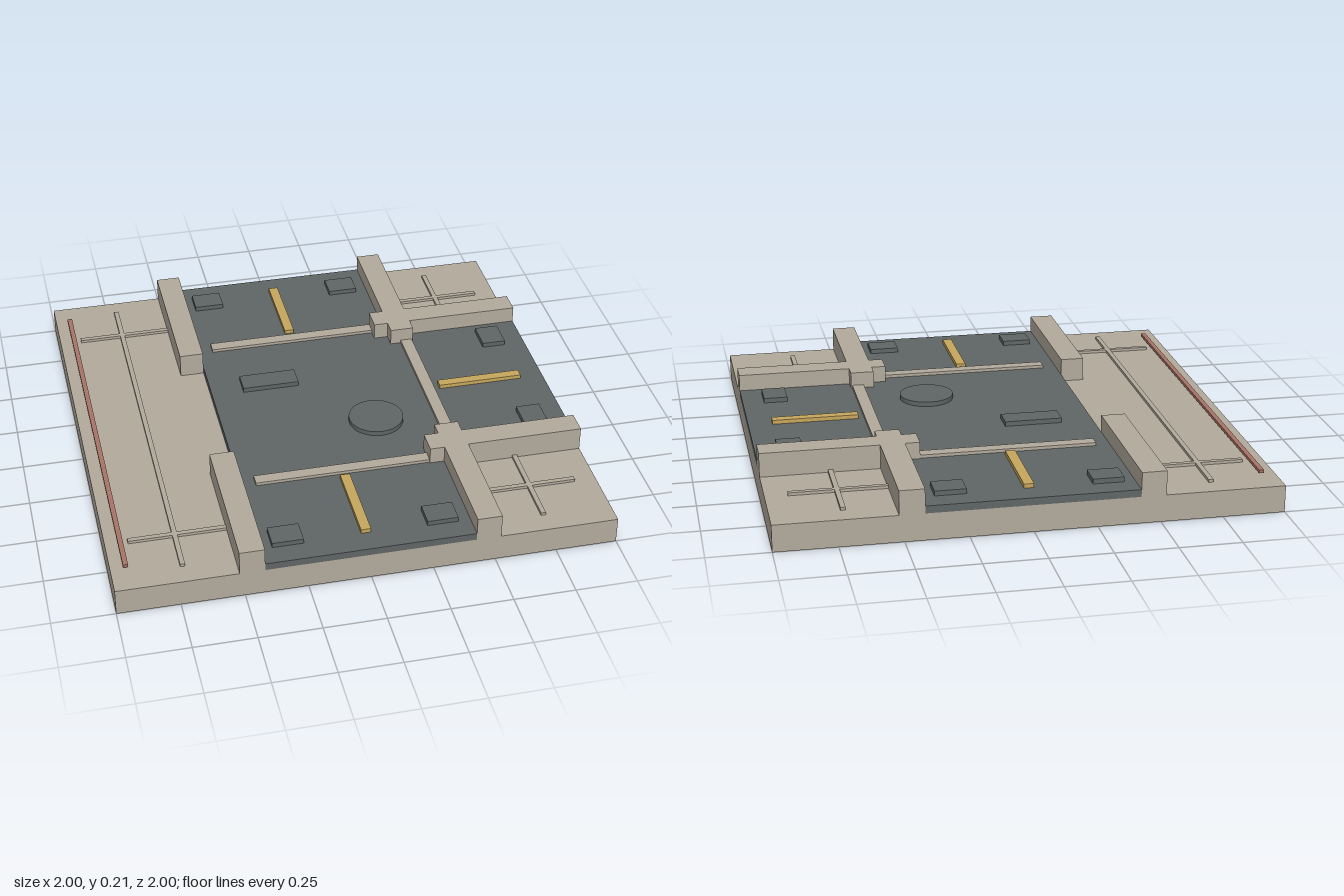
import * as THREE from 'three';

export function createModel() {
  const model = new THREE.Group();
  model.name = 'roadJunctionTile';

  const mat = (name, color) => {
    const m = new THREE.MeshStandardMaterial({ color });
    m.name = name;
    return m;
  };
  const stone = mat('stone', 0xb2aa9c);
  const asphalt = mat('asphalt', 0x606566);
  const yellow = mat('yellow', 0xc6a75c);
  const red = mat('brickRed', 0xa87467);

  // Box given by its extents along each axis
  const box = (name, material, [x0, x1], [y0, y1], [z0, z1]) => {
    const mesh = new THREE.Mesh(new THREE.BoxGeometry(x1 - x0, y1 - y0, z1 - z0), material);
    mesh.position.set((x0 + x1) / 2, (y0 + y1) / 2, (z0 + z1) / 2);
    mesh.name = name;
    model.add(mesh);
  };
  // Range along z, mirrored when s is -1
  const span = (s, a, b) => (s > 0 ? [a, b] : [-b, -a]);

  const GROUND = 0.11, ROAD = 0.14;
  const curbY = [GROUND, 0.21], jointY = [GROUND, 0.122];
  const lineY = [ROAD, 0.153], dashY = [ROAD, 0.157], coverY = [ROAD, 0.16];

  // Foundation slab and T-shaped road
  box('base', stone, [-1, 1], [0, GROUND], [-1, 1]);
  box('mainRoad', asphalt, [-0.42, 0.42], [GROUND, ROAD], [-1, 1]);
  box('sideRoad', asphalt, [0.42, 1], [GROUND, ROAD], [-0.42, 0.42]);

  // Parts mirrored between front and back
  for (const s of [1, -1]) {
    box('leftCurb', stone, [0.42, 0.52], curbY, span(s, 0.52, 1));
    box('leftCurbEnd', stone, [0.42, 0.52], curbY, span(s, 0.36, 0.42));
    box('sideCurb', stone, [0.36, 1], curbY, span(s, 0.42, 0.52));
    box('rightCurb', stone, [-0.52, -0.42], curbY, span(s, 0.36, 1));

    box('stopLine', stone, [-0.36, 0.36], lineY, span(s, 0.465, 0.515));
    box('laneDash', yellow, [-0.02, 0.02], dashY, span(s, 0.54, 0.9));

    for (const x of [-0.3125, 0.3075]) {
      box('drain', asphalt, [x - 0.0625, x + 0.0625], coverY, span(s, 0.81, 0.91));
    }
    box('sideDrain', asphalt, [0.81, 0.91], coverY, span(s, 0.245, 0.37));

    // Pavement joints
    box('cornerJoint', stone, [0.71, 0.73], jointY, span(s, 0.52, 0.91));
    box('cornerCrossJoint', stone, [0.52, 0.91], jointY, span(s, 0.71, 0.73));
    box('pavementCrossJoint', stone, [-0.91, -0.52], jointY, span(s, 0.71, 0.73));
  }

  // Single details
  box('pavementJoint', stone, [-0.735, -0.715], jointY, [-0.91, 0.91]);
  box('sideStopLine', stone, [0.465, 0.515], lineY, [-0.36, 0.36]);
  box('sideLaneDash', yellow, [0.54, 0.9], dashY, [-0.02, 0.02]);
  box('repairPatch', asphalt, [-0.285, -0.045], coverY, [-0.23, -0.135]);
  box('edgeRail', red, [-0.95, -0.93], [0.12, 0.133], [-0.88, 0.88]);

  // Round access cover
  const cover = new THREE.Mesh(new THREE.CylinderGeometry(0.114, 0.114, 0.02, 32), asphalt);
  cover.position.set(0.218, ROAD + 0.01, 0.18);
  cover.name = 'manholeCover';
  model.add(cover);

  return model;
}
